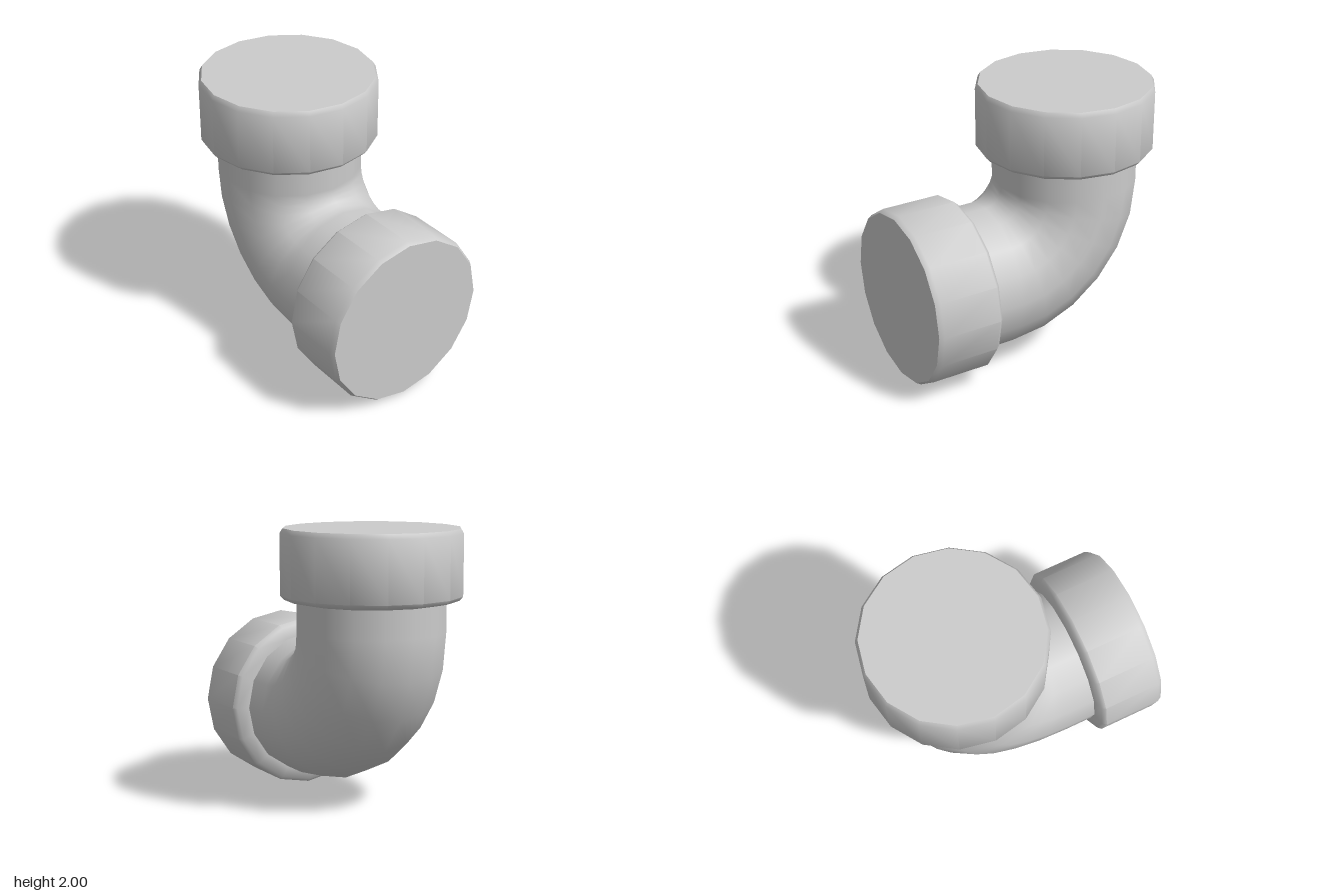
import * as THREE from 'three';
import { toCreasedNormals } from 'three/addons/utils/BufferGeometryUtils.js';

const SIDES = 16;
const AXIS = 0.637;        // collar radius, also the height of the horizontal axis
const PIPE_R = 0.524;
const BEND_R = 0.653;      // centreline radius of the bend
const BEND_C = -1 + AXIS + BEND_R; // x of the bend's centre (its y is 1 higher)

export function createModel() {
  const group = new THREE.Group();
  const material = new THREE.MeshStandardMaterial({ color: 0xcccccc });

  const add = (name, geometry, parent = group) => {
    const mesh = new THREE.Mesh(geometry, material);
    mesh.name = name;
    parent.add(mesh);
    return mesh;
  };

  // Quarter-turn bend
  const bend = add('elbowBend',
    new THREE.TorusGeometry(BEND_R, PIPE_R, SIDES, 6, Math.PI / 2).rotateZ(Math.PI));
  bend.position.set(BEND_C, AXIS + BEND_R, 0);

  // Bevelled, closed socket: radius and distance along the axis
  const profile = [
    [0, 1.495], [0.53, 1.495], [0.612, 1.512], [AXIS, 1.54],
    [AXIS, 1.967], [0.617, 2], [0, 2],
  ].map(([r, y]) => new THREE.Vector2(r, y));
  const collarGeometry = toCreasedNormals(new THREE.LatheGeometry(profile, SIDES), 0.75);

  // Straight neck running from the bend into the socket
  const neckStart = AXIS + BEND_R;
  const neckLength = 1.52 - neckStart;
  const neckGeometry = new THREE.CylinderGeometry(PIPE_R, PIPE_R, neckLength, SIDES, 1, true)
    .translate(0, neckStart + neckLength / 2, 0);

  // Upper end points up, side end points to +x
  for (const end of ['upper', 'side']) {
    const arm = new THREE.Group();
    arm.name = end + 'End';
    add(end + 'Neck', neckGeometry, arm);
    add(end + 'Collar', collarGeometry, arm);
    if (end === 'upper') {
      arm.position.set(-1 + AXIS, 0, 0);
    } else {
      arm.rotation.z = -Math.PI / 2;
      arm.position.set(-1, AXIS, 0);
    }
    group.add(arm);
  }
  return group;
}
